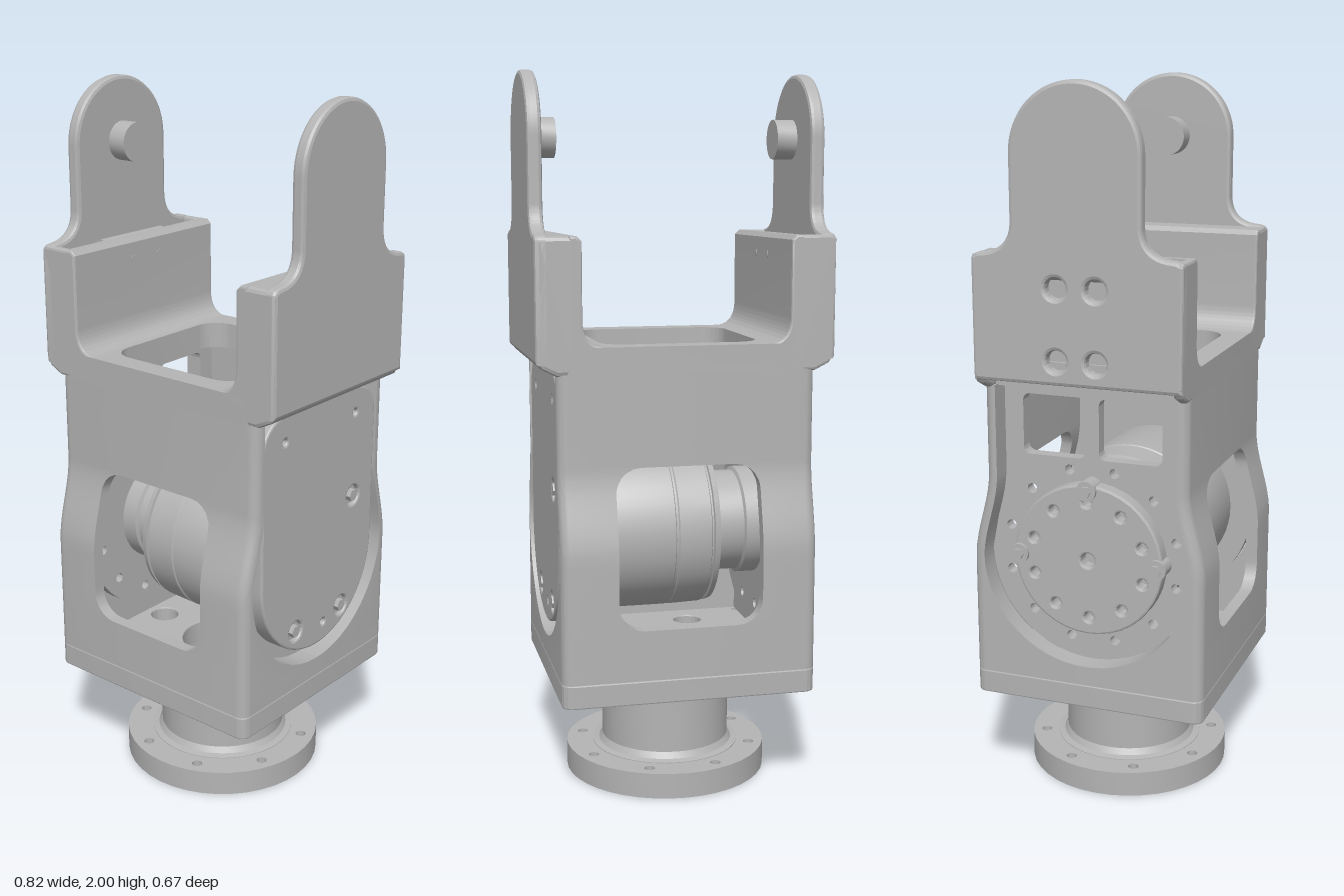
import * as THREE from 'three';
import { toCreasedNormals } from 'three/addons/utils/BufferGeometryUtils.js';

const grey = new THREE.MeshStandardMaterial({ color: 0xb4b4b4 });
grey.name = 'machined grey';
const AXIS_Y = 0.725; // height of the joint axis

function add(parent, name, geometry) {
  const mesh = new THREE.Mesh(toCreasedNormals(geometry, 0.36), grey);
  mesh.name = name;
  parent.add(mesh);
  return mesh;
}

// Extrudes a shape from 'start' to 'end' along x, y or z, with a small bevel.
function prism(shape, axis, start, end, bevel = 0) {
  const g = new THREE.ExtrudeGeometry(shape, {
    depth: end - start - 2 * bevel, curveSegments: 20, bevelEnabled: bevel > 0,
    bevelThickness: bevel, bevelSize: bevel, bevelOffset: -bevel, bevelSegments: 2,
  });
  g.translate(0, 0, start + bevel);
  if (axis === 'x') g.rotateY(Math.PI / 2); // shape x becomes -z
  if (axis === 'y') g.rotateX(-Math.PI / 2); // shape y becomes -z
  return g;
}

function polygon(points) {
  return new THREE.Shape(points.map(([x, y]) => new THREE.Vector2(x, y)));
}

function roundedRect(hx, hy, r, cx = 0, cy = 0) {
  const s = new THREE.Shape();
  s.absarc(cx + hx - r, cy + hy - r, r, 0, Math.PI / 2);
  s.absarc(cx - hx + r, cy + hy - r, r, Math.PI / 2, Math.PI);
  s.absarc(cx - hx + r, cy - hy + r, r, Math.PI, Math.PI * 1.5);
  s.absarc(cx + hx - r, cy - hy + r, r, Math.PI * 1.5, Math.PI * 2);
  return s;
}

function punch(shape, x, y, r) {
  const hole = new THREE.Path();
  hole.absarc(x, y, r, 0, Math.PI * 2, true);
  shape.holes.push(hole);
}

function punchRing(shape, count, radius, r, phase = 0, cy = 0) {
  for (let i = 0; i < count; i++) {
    const a = phase + (i / count) * Math.PI * 2;
    punch(shape, Math.cos(a) * radius, cy + Math.sin(a) * radius, r);
  }
}

// Cylinder lying along x
function rod(x0, x1, y, z, r, sides = 24) {
  return new THREE.CylinderGeometry(r, r, x1 - x0, sides).rotateZ(Math.PI / 2).translate((x0 + x1) / 2, y, z);
}

function lathe(points, segments = 56) {
  return new THREE.LatheGeometry(points.map(([r, y]) => new THREE.Vector2(r, y)), segments);
}

// Half depth of the housing, wider around the joint
function outerZ(y) {
  return 0.335 - 0.045 * THREE.MathUtils.smoothstep(y, 0.7, 0.95);
}

// Half width of the front and back windows
function windowX(y) {
  if (y < 0.505 || y > 0.945) return 0;
  const d = Math.max(0, 0.07 - (y - 0.505), 0.07 - (0.945 - y));
  return 0.13 + Math.sqrt(Math.max(0, 0.0049 - d * d));
}

// Half width of the U-shaped side openings
function slotZ(y) {
  if (y <= 0.42) return 0;
  return y < 0.72 ? Math.sqrt(0.09 - (0.72 - y) ** 2) : outerZ(y) - 0.035;
}

// One corner of the housing, lofted through L-shaped sections
function housingCorner(sx, sz) {
  const ys = [0.365, 1.2, 0.50499, 0.50501, 0.94499, 0.94501];
  for (let i = 0; i <= 16; i++) ys.push(0.72 - 0.3 * Math.cos((i * Math.PI) / 32));
  for (let i = 1; i <= 5; i++) {
    const d = 0.07 * (1 - Math.cos((i * Math.PI) / 10));
    ys.push(0.505 + d, 0.945 - d);
  }
  for (let y = 0.74; y < 0.97; y += 0.03) ys.push(y);
  ys.sort((a, b) => a - b);
  const X = 0.355, T = 0.06, t = 0.035, r = 0.03;
  const pos = [], index = [];
  let n = 0;
  ys.forEach((y) => {
    const w = windowX(y), z = outerZ(y), s = slotZ(y);
    const loop = [[w, z]];
    for (let k = 0; k <= 6; k++) {
      const a = (k * Math.PI) / 12;
      loop.push([X - r + r * Math.sin(a), z - r + r * Math.cos(a)]);
    }
    loop.push([X, s], [X - T, s], [X - T, z - t], [w, z - t]);
    n = loop.length;
    loop.forEach(([x, zz]) => pos.push(sx * x, y, sz * zz));
  });
  for (let i = 0; i < ys.length - 1; i++) {
    for (let j = 0; j < n; j++) {
      const a = i * n + j, b = i * n + ((j + 1) % n), c = b + n, d = a + n;
      if (sx * sz > 0) index.push(a, b, c, a, c, d);
      else index.push(a, c, b, a, d, c);
    }
  }
  const g = new THREE.BufferGeometry();
  g.setAttribute('position', new THREE.Float32BufferAttribute(pos, 3));
  g.setIndex(index);
  return g;
}

// Plate closing a side opening from inside
function bearingShape() {
  const s = new THREE.Shape();
  s.absarc(0, 0.72, 0.299, Math.PI, Math.PI * 2);
  s.lineTo(0.254, 0.95);
  s.lineTo(0.254, 1.2);
  s.lineTo(-0.254, 1.2);
  s.lineTo(-0.254, 0.95);
  return s;
}

// Outer bracket plate with its rounded ear
function earShape() {
  const s = new THREE.Shape();
  s.moveTo(-0.29, 1.225);
  s.lineTo(0.29, 1.225);
  s.lineTo(0.29, 1.545);
  s.quadraticCurveTo(0.29, 1.562, 0.265, 1.565);
  s.quadraticCurveTo(0.18, 1.57, 0.18, 1.65);
  s.lineTo(0.18, 1.82);
  s.absarc(0, 1.82, 0.18, 0, Math.PI);
  s.lineTo(-0.18, 1.65);
  s.quadraticCurveTo(-0.18, 1.57, -0.265, 1.565);
  s.quadraticCurveTo(-0.29, 1.562, -0.29, 1.545);
  return s;
}

export function createModel() {
  const model = new THREE.Group();
  model.name = 'robotJoint';

  // Mounting flange and hollow neck
  const flange = new THREE.Shape();
  flange.absarc(0, 0, 0.29, 0, Math.PI * 2);
  punch(flange, 0, 0, 0.21);
  punchRing(flange, 8, 0.25, 0.015, Math.PI / 8);
  add(model, 'baseFlange', prism(flange, 'y', 0, 0.072));
  add(model, 'neck', lathe([[0.12, 0.02], [0.145, 0.02], [0.145, 0.045], [0.213, 0.045], [0.213, 0.074],
    [0.195, 0.078], [0.185, 0.095], [0.185, 0.285], [0.192, 0.302], [0.12, 0.302], [0.12, 0.02]]));

  // Housing floor
  const floor = roundedRect(0.355, 0.335, 0.03);
  punch(floor, 0, 0, 0.12);
  punchRing(floor, 6, 0.235, 0.042);
  for (const x of [-0.3, 0.3]) for (const z of [-0.28, 0.28]) punch(floor, x, z, 0.016);
  add(model, 'housingFloor', prism(floor, 'y', 0.298, 0.365, 0.004));

  // Housing walls
  const housing = new THREE.Group();
  housing.name = 'housing';
  model.add(housing);
  for (const sx of [-1, 1]) for (const sz of [-1, 1]) add(housing, 'housingCorner', housingCorner(sx, sz));

  // Bearing plates behind the side openings
  add(model, 'leftBearingPlate', prism(bearingShape(), 'x', 0.25, 0.294));
  const openPlate = bearingShape();
  for (const z of [-0.11, 0.11]) openPlate.holes.push(roundedRect(0.09, 0.085, 0.02, z, 1.085));
  punchRing(openPlate, 12, 0.25, 0.014, 0.26, AXIS_Y);
  add(model, 'rightBearingPlate', prism(openPlate, 'x', -0.294, -0.255));

  // Deck with its opening
  const deck = roundedRect(0.33, 0.29, 0.01);
  deck.holes.push(roundedRect(0.22, 0.222, 0.07));
  add(model, 'deck', prism(deck, 'y', 1.195, 1.27));

  // Fork brackets
  const inner = polygon([[0.225, 1.21], [0.32, 1.21], [0.32, 1.56], [0.298, 1.56], [0.285, 1.547], [0.285, 1.34]]);
  inner.quadraticCurveTo(0.283, 1.272, 0.225, 1.27);
  const cheek = polygon([[0.3, 1.195], [0.355, 1.195], [0.395, 1.215], [0.41, 1.24], [0.41, 1.55], [0.4, 1.56], [0.3, 1.56]]);
  for (const side of [1, -1]) {
    const bracket = new THREE.Group();
    bracket.name = side > 0 ? 'leftBracket' : 'rightBracket';
    if (side < 0) bracket.rotation.y = Math.PI;
    add(bracket, 'innerWall', prism(inner, 'z', -0.29, 0.29, 0.006));
    const ear = earShape();
    if (side > 0) {
      add(bracket, 'block', prism(cheek, 'z', -0.29, 0.29, 0.012));
    } else {
      add(bracket, 'endWall', prism(cheek, 'z', 0.262, 0.29, 0.008));
      add(bracket, 'endWall', prism(cheek, 'z', -0.29, -0.262, 0.008));
      add(bracket, 'pocketRib', new THREE.CylinderGeometry(0.033, 0.033, 0.25, 24).rotateX(Math.PI / 2).translate(0.342, 1.525, 0));
      for (const z of [-0.21, 0.21]) add(bracket, 'pocketBoss', rod(0.31, 0.352, 1.4, z, 0.045));
      for (const z of [-0.055, 0.055]) for (const y of [1.29, 1.48]) {
        punch(ear, z, y, 0.028);
        add(bracket, 'wallScrew', rod(0.2835, 0.3, y + 0.02, z, 0.01, 12));
      }
    }
    add(bracket, 'ear', prism(ear, 'x', 0.37, 0.41, 0.01));
    add(bracket, 'pivotPin', rod(0.313, 0.375, 1.82, 0, 0.055, 28));
    model.add(bracket);
  }

  // Actuator lying along x: output disc, neck and motor drum
  const actuator = new THREE.Group();
  actuator.name = 'actuator';
  model.add(actuator);
  const drum = lathe([[0, -0.26], [0.155, -0.26], [0.155, -0.205], [0.145, -0.2], [0.145, -0.115], [0.226, -0.11],
    [0.23, -0.094], [0.222, -0.092], [0.222, -0.087], [0.232, -0.083], [0.235, 0.008], [0.231, 0.011], [0.231, 0.017],
    [0.235, 0.02], [0.235, 0.25], [0.225, 0.28], [0, 0.28]]);
  add(actuator, 'motorDrum', drum.rotateZ(-Math.PI / 2).translate(0, AXIS_Y, 0));
  const disc = new THREE.Shape();
  disc.absarc(0, 0, 0.215, 0, Math.PI * 2);
  punch(disc, 0, 0, 0.02);
  punchRing(disc, 10, 0.165, 0.014, 0.3);
  add(actuator, 'outputDisc', prism(disc, 'x', -0.335, -0.285, 0.006).translate(0, AXIS_Y, 0));
  for (const a of [0, Math.PI, Math.PI / 2]) {
    const y = AXIS_Y + 0.2 * Math.sin(a), z = 0.2 * Math.cos(a);
    add(actuator, 'discBolt', rod(-0.345, -0.29, y, z, 0.028));
    add(actuator, 'discBoltHead', rod(-0.353, -0.34, y, z, 0.016, 6));
  }

  // Side cover with screws
  const cover = new THREE.Shape();
  cover.absarc(0, 0.715, 0.255, Math.PI, Math.PI * 2);
  cover.absarc(0.165, 1.105, 0.09, 0, Math.PI / 2);
  cover.absarc(-0.165, 1.105, 0.09, Math.PI / 2, Math.PI);
  const screws = [[-0.16, 0.87], [0.1, 0.54], [-0.115, 0.54]];
  screws.forEach(([z, y]) => punch(cover, -z, y, 0.03));
  [[0.16, 1.12], [-0.16, 1.12], [-0.03, 0.52]].forEach(([z, y]) => punch(cover, -z, y, 0.01));
  add(model, 'sideCover', prism(cover, 'x', 0.29, 0.35, 0.006));
  screws.forEach(([z, y]) => {
    add(model, 'coverScrewSeat', rod(0.29, 0.335, y, z, 0.03));
    add(model, 'coverScrew', rod(0.33, 0.352, y, z, 0.018, 6));
  });
  return model;
}
